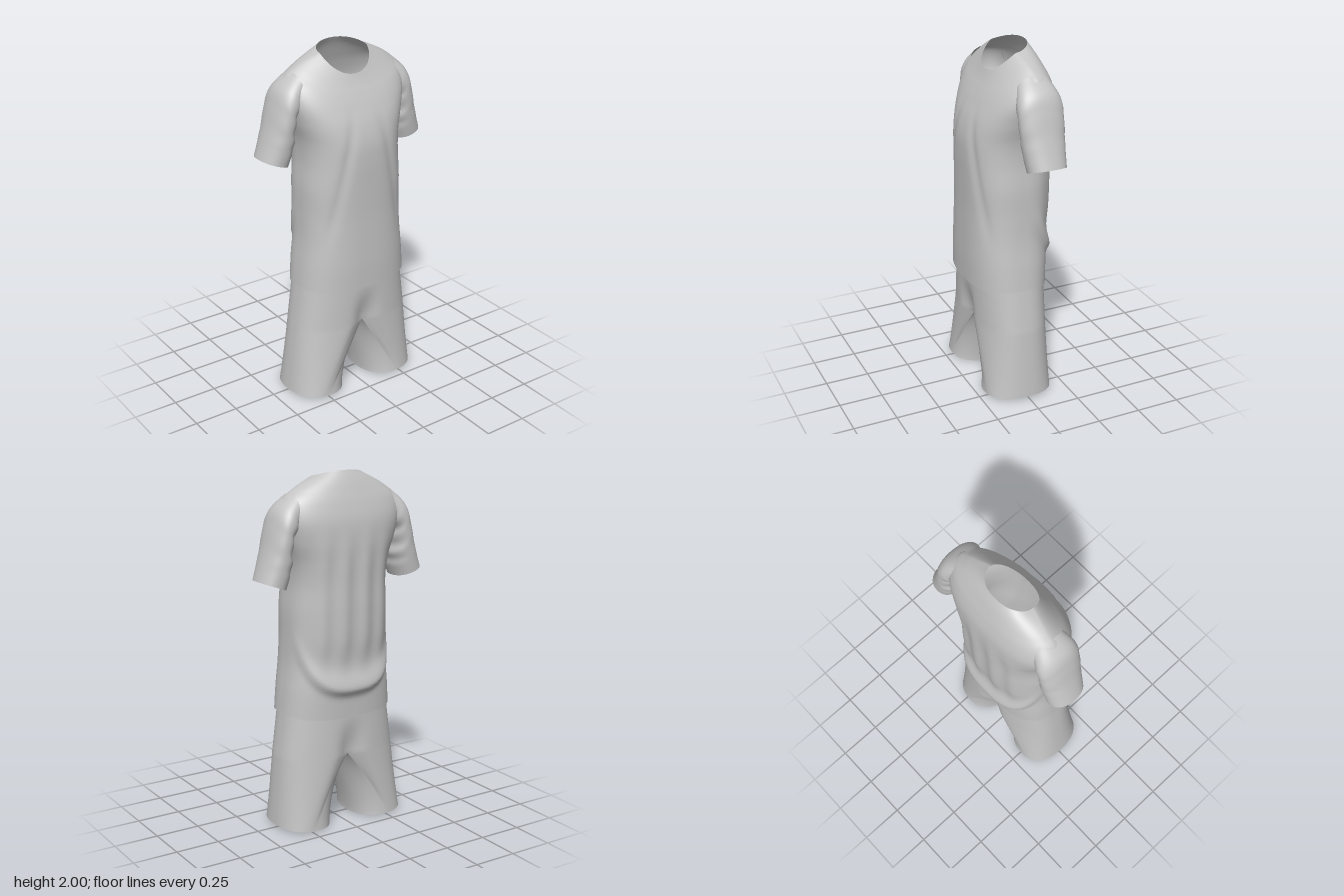
import * as THREE from 'three';
import { mergeGeometries, mergeVertices } from 'three/addons/utils/BufferGeometryUtils.js';

const TAU = Math.PI * 2;
const { lerp, smoothstep } = THREE.MathUtils;
const power = (v, p) => Math.sign(v) * Math.abs(v) ** p;
const bell = (v, width) => Math.exp(-((v / width) ** 2));

// Smooth curve through the rows of a table, t from 0 to 1
function sample(rows, t) {
  const f = t * (rows.length - 1);
  const i = Math.min(Math.floor(f), rows.length - 2);
  const k = f - i;
  const row = (n) => rows[Math.max(0, Math.min(rows.length - 1, n))];
  return rows[0].map((_, c) => {
    const [a, b, d, e] = [row(i - 1)[c], row(i)[c], row(i + 1)[c], row(i + 2)[c]];
    return b + 0.5 * k * (d - a + k * (2 * a - 5 * b + 4 * d - e + k * (3 * (b - d) + e - a)));
  });
}

// Open tube of cloth: point(angle, t) gives a position, t running upward
function loft(point, around, along) {
  const positions = [];
  const index = [];
  for (let j = 0; j <= along; j++) {
    for (let i = 0; i < around; i++) positions.push(...point((i / around) * TAU, j / along));
  }
  for (let j = 0; j < along; j++) {
    for (let i = 0; i < around; i++) {
      const n = (i + 1) % around;
      const a = j * around + i, b = j * around + n;
      index.push(a, a + around, b, b, a + around, b + around);
    }
  }
  const geometry = new THREE.BufferGeometry();
  geometry.setAttribute('position', new THREE.Float32BufferAttribute(positions, 3));
  geometry.setIndex(index);
  return geometry;
}

// Shirt body rings: half width, y side / front / back, z side / front / back
const BODY = [
  [0.337, 0.675, 0.66, 0.645, 0.01, 0.238, -0.2],
  [0.325, 0.8, 0.8, 0.8, 0.01, 0.24, -0.207],
  [0.308, 0.95, 0.95, 0.95, 0.01, 0.238, -0.207],
  [0.302, 1.1, 1.1, 1.1, 0.0, 0.236, -0.222],
  [0.3, 1.25, 1.25, 1.25, 0.0, 0.238, -0.228],
  [0.29, 1.4, 1.4, 1.4, -0.01, 0.24, -0.23],
  [0.3, 1.52, 1.51, 1.52, -0.03, 0.234, -0.233],
  [0.335, 1.64, 1.61, 1.63, -0.045, 0.21, -0.233],
  [0.365, 1.76, 1.7, 1.74, -0.05, 0.172, -0.225],
  [0.35, 1.85, 1.76, 1.83, -0.05, 0.142, -0.203],
  [0.29, 1.902, 1.8, 1.9, -0.045, 0.12, -0.178],
  [0.22, 1.94, 1.83, 1.955, -0.035, 0.105, -0.155],
  [0.15, 1.968, 1.857, 2.0, -0.02, 0.093, -0.13],
];

function bodyPoint(angle, t) {
  const [w, ySide, yFront, yBack, zSide, zFront, zBack] = sample(BODY, t);
  const p = lerp(0.78, 0.95, smoothstep(t, 0.6, 1));
  const c = power(Math.cos(angle), p);
  const s = power(Math.sin(angle), p);
  const front = s > 0;
  const k = Math.abs(s);
  const x = w * c;
  const y = lerp(ySide, front ? yFront : yBack, k ** 1.3);
  let z = lerp(zSide, front ? zFront : zBack, k);
  const drape = smoothstep(y, 0.85, 1.1) * (1 - smoothstep(y, 1.45, 1.75));
  if (front) {
    // soft pleats fanning out from the chest
    const spread = 0.12 + (1.5 - y) * 0.22;
    z -= 0.01 * drape * k * bell(Math.abs(x) - spread, 0.03);
  } else {
    // hanging pleats and the U-shaped fold above the hem
    z += 0.006 * drape * k * Math.cos(x * 48);
    const d = y - (0.81 + 0.38 * (1 - k));
    z -= 0.032 * k * bell(d, d > 0 ? 0.08 : 0.03);
  }
  return [x, y, z];
}

// Sleeve rings from cuff to shoulder: outer x, y, inner x, y, z back, z front
const SLEEVE = [
  [0.517, 1.44, 0.36, 1.385, -0.165, 0.048],
  [0.49, 1.52, 0.34, 1.45, -0.17, 0.058],
  [0.462, 1.61, 0.328, 1.53, -0.175, 0.067],
  [0.432, 1.72, 0.325, 1.62, -0.178, 0.074],
  [0.395, 1.81, 0.3, 1.69, -0.175, 0.072],
  [0.31, 1.886, 0.27, 1.73, -0.15, 0.05],
];

const sleevePoint = (side) => (angle, t) => {
  const [ox, oy, ix, iy, zb, zf] = sample(SLEEVE, t);
  const c = power(Math.cos(angle), 0.9) / 2 + 0.5;
  const s = power(Math.sin(angle), 0.9) / 2 + 0.5;
  // creases gathered under the arm
  const crease = 0.006 * (1 - c) * Math.sin(t * 30) * smoothstep(t, 0.1, 0.4);
  return [side * (lerp(ix, ox, c) + crease), lerp(iy, oy, c), lerp(zb, zf, s)];
};

// Shorts
const CROTCH = 0.42;
const WAIST = 0.86;

function hipPoint(angle, t) {
  const y = lerp(CROTCH, WAIST, t);
  const w = lerp(0.362, 0.3, t);
  const c = power(Math.cos(angle), 0.78);
  const s = power(Math.sin(angle), 0.78);
  const x = w * c;
  let z = s > 0 ? 0.01 + 0.205 * s : 0.01 + 0.205 * s * lerp(1, 0.97, t);
  // valley between the thighs
  z *= 1 - 0.22 * bell(x, 0.06) * (1 - smoothstep(y, 0.4, 0.66));
  return [x, y, z];
}

const legPoint = (side) => (angle, t) => {
  const [outer, inner] = side > 0 ? [0.39, 0.07] : [0.413, 0.095];
  // hem oval
  const c = Math.cos(angle), s = Math.sin(angle);
  const hx = (outer + inner) / 2 + ((outer - inner) / 2) * power(c, 0.85);
  const hz = 0.015 + 0.197 * power(s, 0.85);
  const hy = 0.014 + 0.008 * c + 0.006 * s;
  // top edge: half of the hip ring, closed by a sagging seam between the legs
  let top;
  if (c >= -1e-6) {
    top = hipPoint(angle, 0);
  } else {
    const zf = hipPoint(Math.PI / 2, 0)[2], zb = hipPoint(-Math.PI / 2, 0)[2];
    const f = (angle - Math.PI / 2) / Math.PI;
    top = [0, CROTCH - 0.06 * Math.sin(f * Math.PI), lerp(zf, zb, f)];
  }
  const bulge = c > 0 ? t : t ** 1.35;
  return [side * lerp(hx, top[0], bulge), lerp(hy, top[1], t), lerp(hz, top[2], t)];
};

// Mirrored lofts run the other way round so they still face outward
function sided(make, side, around, along) {
  const point = make(side);
  return loft((a, t) => point(side > 0 ? a : (TAU - a + Math.PI) % TAU, t), around, along);
}
function mirrorFix(geometry) {
  geometry.computeVertexNormals();
  return geometry;
}

export function createModel() {
  const cloth = new THREE.MeshStandardMaterial({ color: 0xc4c4c4 });
  cloth.name = 'greyCloth';
  cloth.side = THREE.DoubleSide;
  const model = new THREE.Group();
  model.name = 'sportsKit';
  const add = (name, geometry) => {
    const mesh = new THREE.Mesh(mirrorFix(geometry), cloth);
    mesh.name = name;
    model.add(mesh);
  };

  add('shirtBody', loft(bodyPoint, 160, 120));
  add('leftSleeve', sided(sleevePoint, 1, 48, 40));
  add('rightSleeve', sided(sleevePoint, -1, 48, 40));
  const shorts = [
    loft(hipPoint, 96, 24),
    sided(legPoint, 1, 96, 28),
    sided(legPoint, -1, 96, 28),
  ];
  add('shorts', mergeVertices(mergeGeometries(shorts), 1e-4));
  return model;
}
